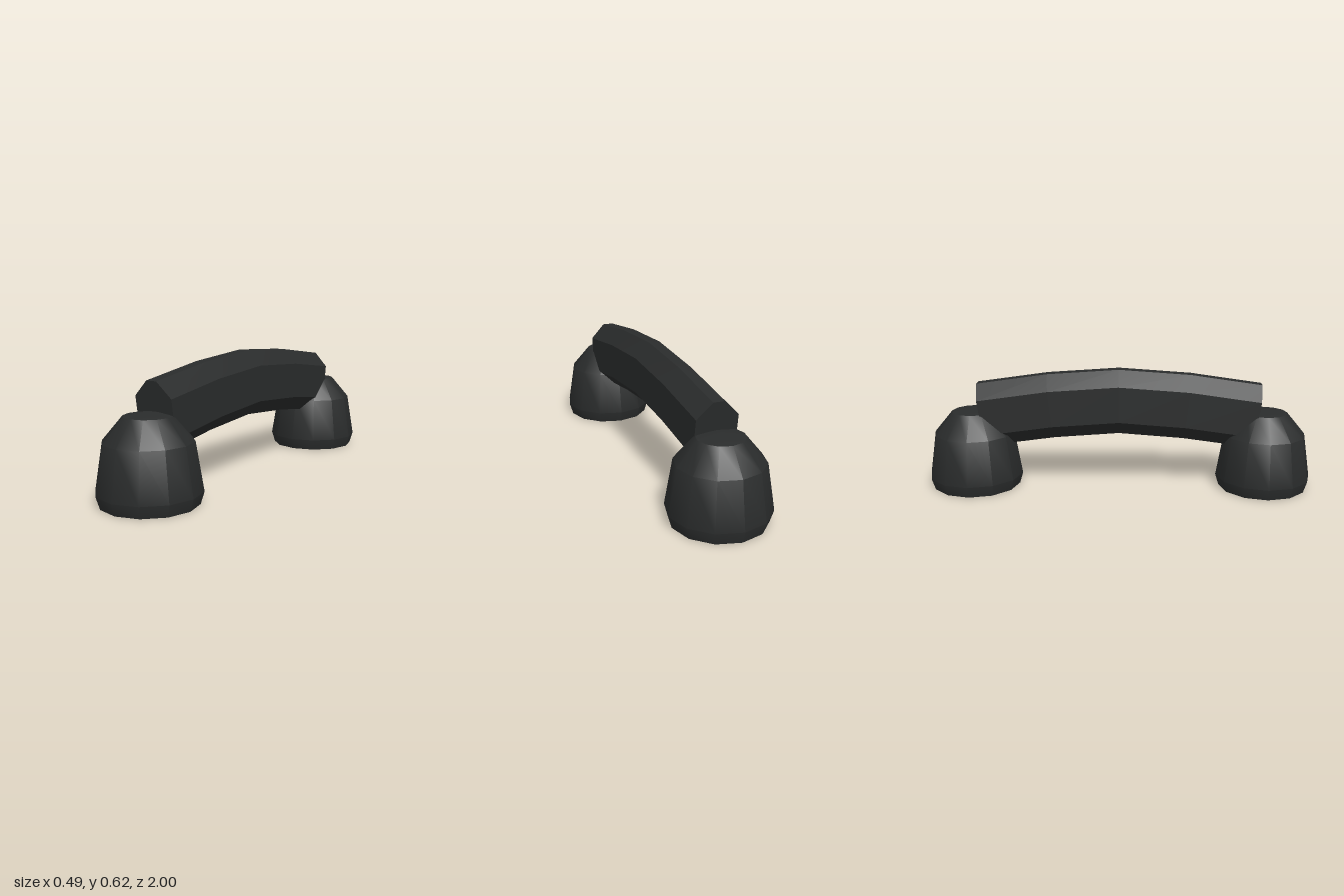
import * as THREE from 'three';
import { toCreasedNormals } from 'three/addons/utils/BufferGeometryUtils.js';

const CREASE = THREE.MathUtils.degToRad(36);

// Faceted dome with a flat base and a shallow cap
function cupGeometry() {
  const profile = [
    [0, 0], [0.227, 0], [0.245, 0.058], [0.208, 0.284], [0.113, 0.397], [0, 0.415],
  ].map(([r, y]) => new THREE.Vector2(r, y));
  return toCreasedNormals(new THREE.LatheGeometry(profile, 12), CREASE);
}

// Chamfered bar, extruded in four steps and bent into an arch
function handleGeometry() {
  const w = 0.103, c = 0.075, h = 0.333;
  const section = new THREE.Shape([
    [c - w, 0], [w - c, 0], [w, c], [w, h - c],
    [w - c, h], [c - w, h], [-w, h - c], [-w, c],
  ].map(([x, y]) => new THREE.Vector2(x, y)));
  const geometry = new THREE.ExtrudeGeometry(section, { depth: 4, steps: 4, bevelEnabled: false });

  // Bottom and top [z, y] of each section, from the middle outwards
  const stations = [
    { bottom: [0, 0.288], top: [0, 0.622] },
    { bottom: [0.332, 0.263], top: [0.367, 0.597] },
    { bottom: [0.682, 0.216], top: [0.73, 0.546] },
  ];
  const pos = geometry.attributes.position;
  for (let i = 0; i < pos.count; i++) {
    const step = Math.round(pos.getZ(i)) - 2;
    const { bottom, top } = stations[Math.abs(step)];
    const t = pos.getY(i) / h;
    pos.setY(i, THREE.MathUtils.lerp(bottom[1], top[1], t));
    pos.setZ(i, Math.sign(step) * THREE.MathUtils.lerp(bottom[0], top[0], t));
  }
  return toCreasedNormals(geometry, CREASE);
}

export function createModel() {
  const group = new THREE.Group();
  group.name = 'handset';
  const material = new THREE.MeshStandardMaterial({ color: 0x2a2c2c });

  const handle = new THREE.Mesh(handleGeometry(), material);
  handle.name = 'handle';
  group.add(handle);

  // One cup under each end of the handle
  const cup = cupGeometry();
  for (const [name, side] of [['frontCup', 1], ['backCup', -1]]) {
    const mesh = new THREE.Mesh(cup, material);
    mesh.name = name;
    mesh.position.z = side * 0.755;
    group.add(mesh);
  }
  return group;
}
